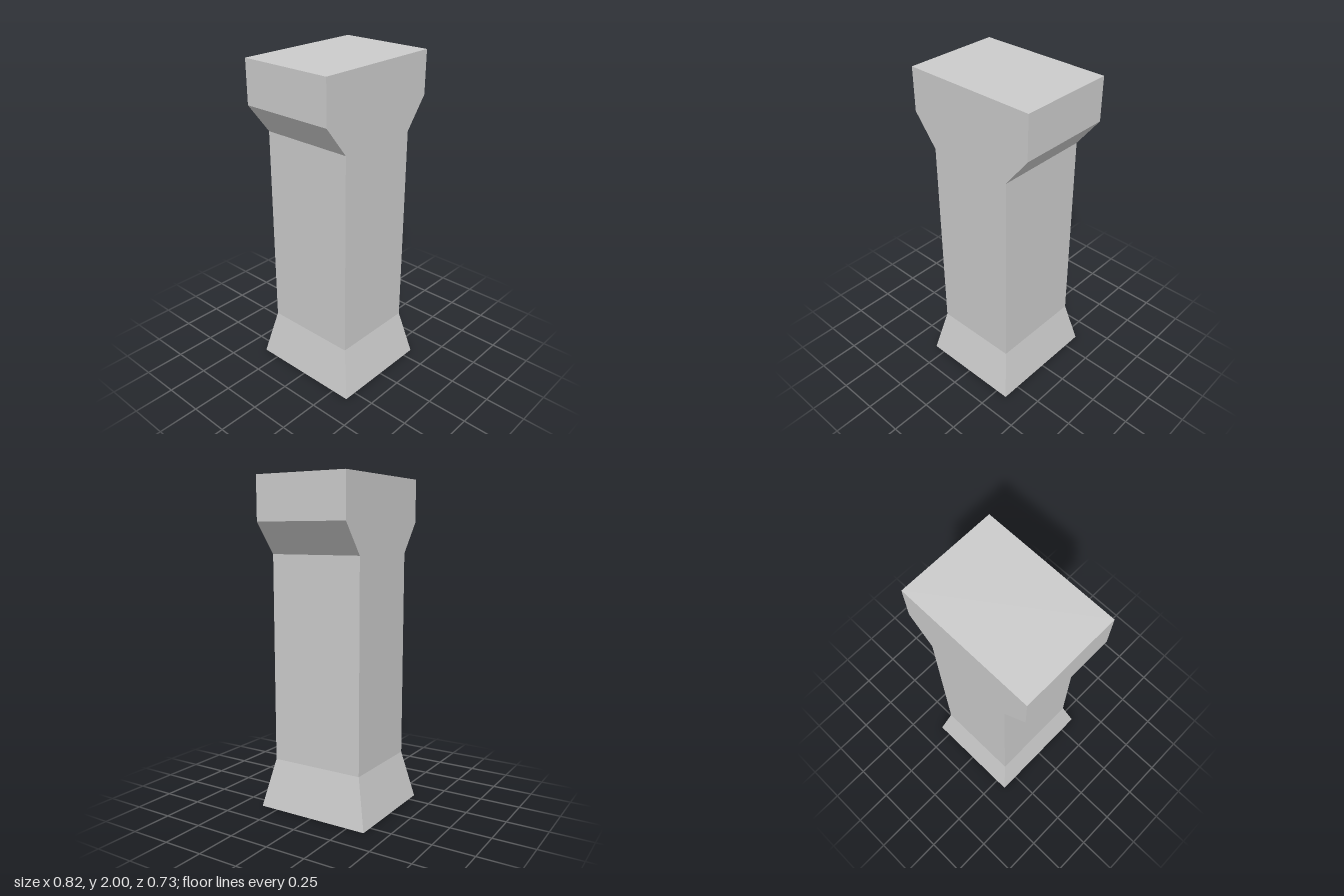
import * as THREE from 'three';

// Rectangular levels of the pillar, bottom to top: height, half width, half depth
const LEVELS = [
  [0, 0.327, 0.363],
  [0.3, 0.267, 0.295],
  [1.555, 0.267, 0.295],
  [1.74, 0.411, 0.295],
  [2, 0.411, 0.295],
];
const PARTS = ['flaredBase', 'shaft', 'bracket', 'capBlock'];

// Four corners of a level, counter-clockwise seen from above
function corners([y, w, d]) {
  return [[-w, y, d], [w, y, d], [w, y, -d], [-w, y, -d]];
}

// Walls between two levels, closed only where the pillar ends
function sectionGeometry(lower, upper, closeBottom, closeTop) {
  const lo = corners(lower);
  const up = corners(upper);
  const points = [];
  const quad = (a, b, c, d) => points.push(...a, ...b, ...c, ...a, ...c, ...d);
  for (let i = 0; i < 4; i++) {
    const j = (i + 1) % 4;
    quad(lo[i], lo[j], up[j], up[i]);
  }
  if (closeBottom) quad(lo[3], lo[2], lo[1], lo[0]);
  if (closeTop) quad(...up);
  const geometry = new THREE.BufferGeometry();
  geometry.setAttribute('position', new THREE.Float32BufferAttribute(points, 3));
  geometry.computeVertexNormals();
  return geometry;
}

export function createModel() {
  const group = new THREE.Group();
  group.name = 'pillar';
  const material = new THREE.MeshStandardMaterial({ color: 0xcccccc, flatShading: true });
  PARTS.forEach((name, i) => {
    const geometry = sectionGeometry(LEVELS[i], LEVELS[i + 1], i === 0, i === PARTS.length - 1);
    const mesh = new THREE.Mesh(geometry, material);
    mesh.name = name;
    group.add(mesh);
  });
  return group;
}
